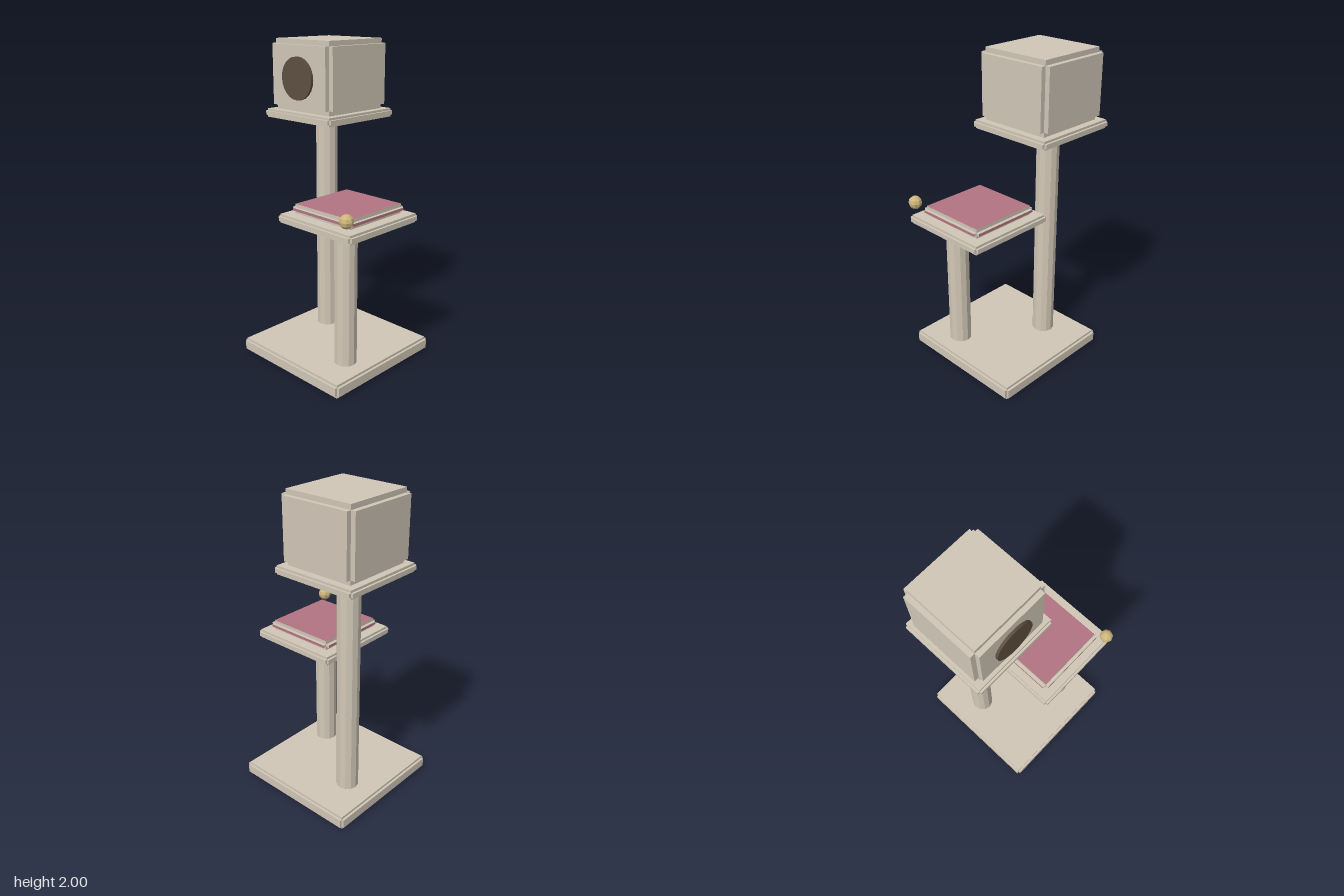
import * as THREE from 'three';

const mat = (name, color, flatShading = false) => {
  const m = new THREE.MeshStandardMaterial({ color, flatShading });
  m.name = name;
  return m;
};

export function createModel() {
  const felt = mat('beige felt', 0xd0c6b6);
  const post = mat('beige post wrap', 0xd2c8b7, true);
  const pink = mat('pink cushion', 0xb27482);
  const dark = mat('dark opening', 0x5e4e40);
  const gold = mat('toy gold', 0xcfb67c, true);

  const root = new THREE.Group();

  // Box with stepped edges: three crossing boxes, each full size along one axis.
  // min/max are the outer corners, step the inset; main faces may differ from the trim.
  function steppedBox(name, min, max, step, face = felt, trim = felt) {
    const group = new THREE.Group();
    group.name = name;
    const size = max.map((v, i) => v - min[i]);
    for (let axis = 0; axis < 3; axis++) {
      const s = size.map((v, i) => (i === axis ? v : v - 2 * step));
      const mats = Array.from({ length: 6 }, (_, f) => (f >> 1 === axis ? face : trim));
      const mesh = new THREE.Mesh(new THREE.BoxGeometry(...s), mats);
      mesh.name = name + 'Block' + 'XYZ'[axis];
      group.add(mesh);
    }
    group.position.set(...max.map((v, i) => (v + min[i]) / 2));
    root.add(group);
  }

  function add(name, geometry, material, x, y, z) {
    const mesh = new THREE.Mesh(geometry, material);
    mesh.name = name;
    mesh.position.set(x, y, z);
    root.add(mesh);
    return mesh;
  }

  // Base, platforms, house and cushion
  steppedBox('base', [-0.435, 0, -0.43], [0.42, 0.087, 0.427], 0.015);
  steppedBox('lowerPlatform', [-0.136, 0.945, -0.229], [0.462, 1.0, 0.37], 0.014);
  steppedBox('upperPlatform', [-0.465, 1.52, -0.402], [0.105, 1.573, 0.169], 0.014);
  steppedBox('house', [-0.437, 1.573, -0.373], [0.077, 2.0, 0.141], 0.03);
  steppedBox('cushion', [-0.08, 1.003, -0.173], [0.406, 1.062, 0.311], 0.021, pink, felt);

  // Posts
  const addPost = (name, x, z, y0, y1) =>
    add(name, new THREE.CylinderGeometry(0.071, 0.071, y1 - y0, 12), post, x, (y0 + y1) / 2, z);
  addPost('tallPost', -0.225, -0.14, 0.087, 1.505);
  addPost('shortPost', 0.247, 0.176, 0.087, 0.932);

  // Round entrance on the house front
  add('entrance', new THREE.CylinderGeometry(0.128, 0.128, 0.016, 24), dark, -0.18, 1.776, 0.149)
    .rotation.x = Math.PI / 2;

  // Toy ball at the platform corner
  add('toyBall', new THREE.SphereGeometry(0.042, 8, 6), gold, 0.42, 1.076, 0.355);

  return root;
}
